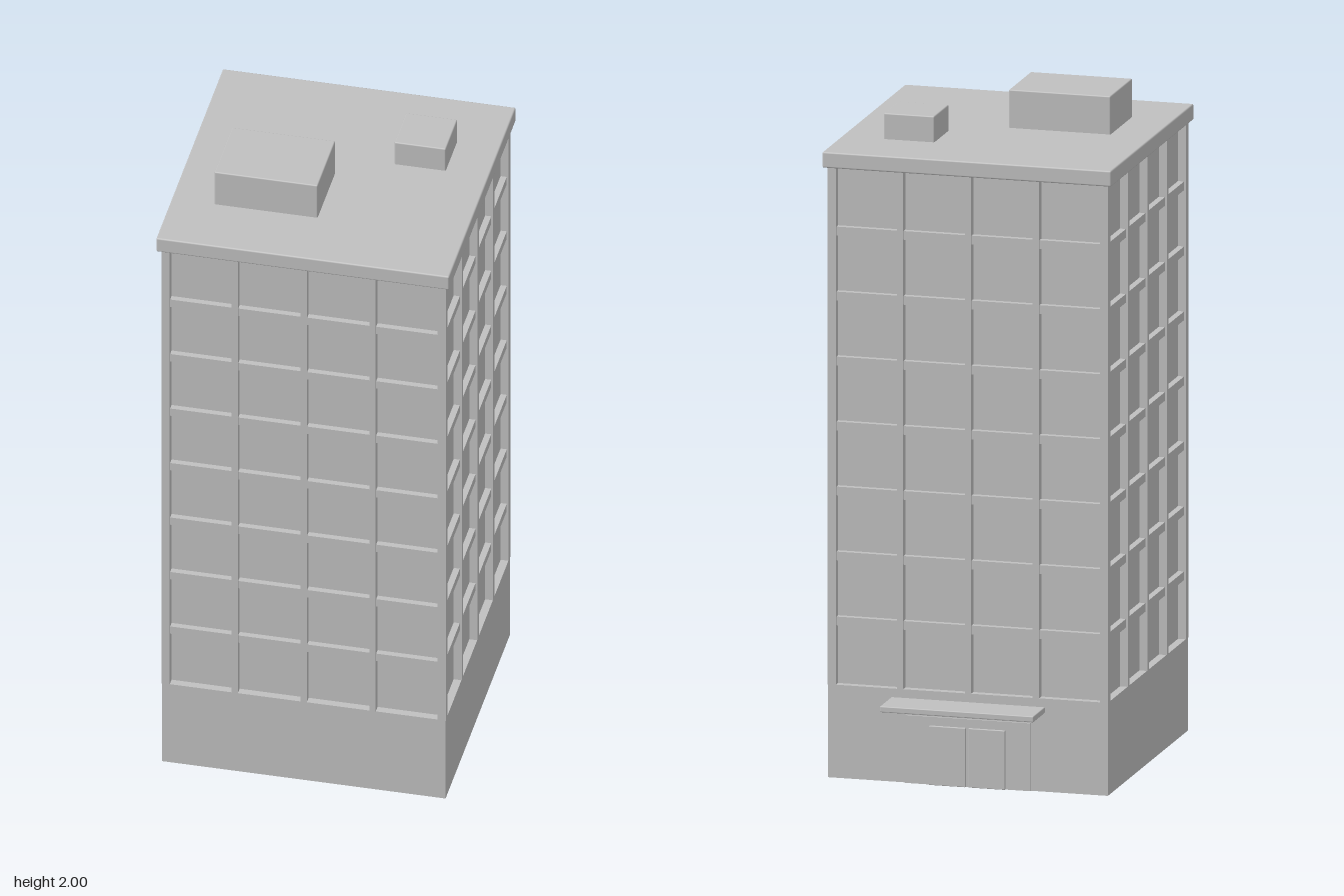
import * as THREE from 'three';
import { RoundedBoxGeometry } from 'three/addons/geometries/RoundedBoxGeometry.js';

export function createModel() {
  const model = new THREE.Group();
  model.name = 'officeTower';
  const concrete = new THREE.MeshStandardMaterial({ color: 0xbfbfbf });
  concrete.name = 'concreteGrey';

  // Box given by its size and the centre of its underside
  function block(parent, name, w, h, d, x, y, z, radius = 0) {
    const geometry = radius
      ? new RoundedBoxGeometry(w, h, d, 2, radius)
      : new THREE.BoxGeometry(w, h, d);
    const mesh = new THREE.Mesh(geometry, concrete);
    mesh.name = name;
    mesh.position.set(x, y + h / 2, z);
    parent.add(mesh);
    return mesh;
  }

  // Tower, set slightly forward to leave room for the canopy
  const tower = new THREE.Group();
  tower.name = 'tower';
  tower.position.z = 0.052;
  model.add(tower);

  const half = 0.427, baseTop = 0.28, wallTop = 1.84;
  block(tower, 'base', 0.852, baseTop, 0.852, 0, 0, 0);
  block(tower, 'windowCore', 0.805, wallTop - baseTop, 0.805, 0, baseTop, 0);

  // Floor bands between the eight storeys
  for (let i = 0; i < 7; i++) {
    block(tower, 'floorBand', 0.842, 0.026, 0.842, 0, 0.458 + i * 0.1957, 0);
  }

  // Corner columns
  for (const x of [-1, 1]) for (const z of [-1, 1]) {
    const c = half - 0.0125;
    block(tower, 'cornerColumn', 0.025, wallTop - baseTop, 0.025, x * c, baseTop, z * c);
  }

  // Three mullions on each of the four facades
  for (let side = 0; side < 4; side++) {
    const facade = new THREE.Group();
    facade.name = 'facade';
    facade.rotation.y = side * Math.PI / 2;
    tower.add(facade);
    for (let i = -1; i <= 1; i++) {
      block(facade, 'mullion', 0.019, wallTop - baseTop, 0.03, i * 0.207, baseTop, half - 0.015);
    }
  }

  // Roof slab and rooftop units
  block(tower, 'roofSlab', 0.88, 0.048, 0.88, 0, 1.837, 0, 0.005);
  block(model, 'liftHouse', 0.31, 0.125, 0.233, -0.157, 1.875, 0.169, 0.004);
  block(model, 'ventUnit', 0.154, 0.088, 0.154, 0.234, 1.875, -0.106, 0.004);

  // Rear entrance: surround, double doors and canopy
  block(model, 'entranceSurround', 0.38, 0.204, 0.02, 0, 0, -0.37);
  for (const s of [-1, 1]) {
    block(model, 'door', 0.112, 0.178, 0.02, s * 0.06, 0, -0.377, 0.002);
  }
  block(model, 'canopy', 0.468, 0.018, 0.125, 0, 0.236, -0.4325, 0.003);

  return model;
}
